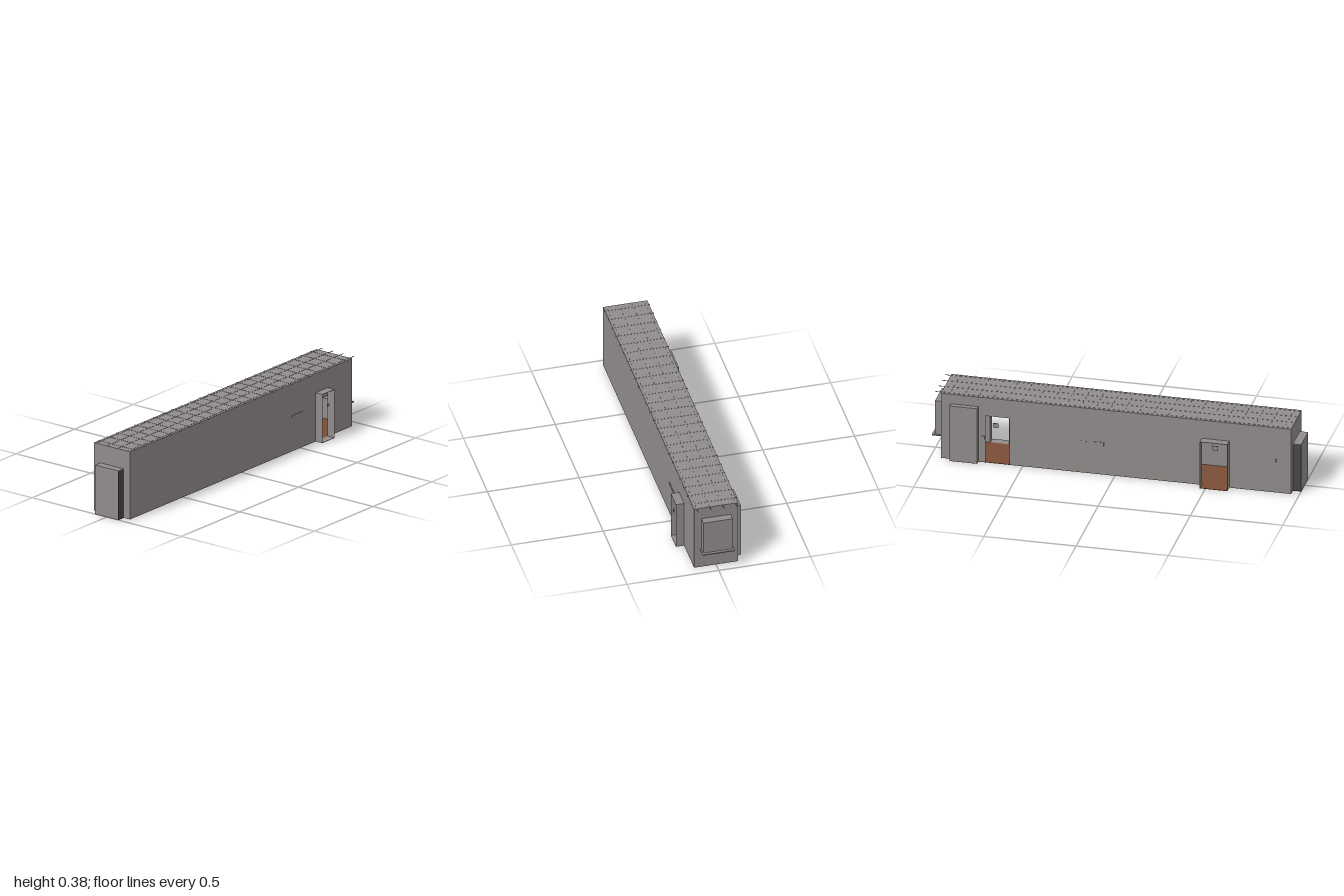
import * as THREE from 'three';

const mat = (name, color) => {
  const m = new THREE.MeshStandardMaterial({ color, side: THREE.DoubleSide });
  m.name = name;
  return m;
};

export function createModel() {
  const gray = mat('wall gray', 0x928c8c);
  const dark = mat('dark gray', 0x484747);
  const brown = mat('floor brown', 0x7a4e36);
  const X0 = -0.955, X1 = 0.943, Z = 0.12, H = 0.378;
  const model = new THREE.Group();
  model.name = 'corridor';

  const add = (name, geo, material, parent = model) => {
    const mesh = new THREE.Mesh(geo, material);
    mesh.name = name;
    parent.add(mesh);
    return mesh;
  };
  // Box given by its limits
  const box = (name, x0, x1, y0, y1, z0, z1, material = gray, parent = model) =>
    add(name, new THREE.BoxGeometry(x1 - x0, y1 - y0, z1 - z0), material, parent)
      .position.set((x0 + x1) / 2, (y0 + y1) / 2, (z0 + z1) / 2);

  // Flat wall from a to b, with doorways [start, end, height] cut up from the floor
  const wallShape = (a, b, doors) => {
    const s = new THREE.Shape();
    s.moveTo(a, 0);
    for (const [p, q, h] of doors) {
      s.lineTo(p, 0);
      s.lineTo(p, h);
      s.lineTo(q, h);
      s.lineTo(q, 0);
    }
    s.lineTo(b, 0);
    s.lineTo(b, H);
    s.lineTo(a, H);
    s.closePath();
    return s;
  };

  // Long walls
  add('frontWall', new THREE.ShapeGeometry(wallShape(X0, X1, [[0.63, 0.735, 0.272]])), gray).position.z = Z;
  const backDoors = [[-0.62, -0.47, 0.272], [0.57, 0.7, 0.272], [0.74, 0.89, 0.322]];
  const back = add('backWall', new THREE.ShapeGeometry(wallShape(X0, X1, backDoors)).rotateY(Math.PI), gray);
  back.geometry.scale(-1, 1, 1);
  back.geometry.index.array.reverse();
  back.position.z = -Z;

  // End walls: a doorway at one end, a window opening at the other
  const doorEnd = add('doorEndWall', new THREE.ShapeGeometry(wallShape(-Z, Z, [[-0.078, 0.078, 0.272]])), gray);
  doorEnd.rotation.y = -Math.PI / 2;
  doorEnd.position.x = X0;
  const windowShape = wallShape(-Z, Z, []);
  windowShape.holes.push(new THREE.Path([
    [-0.08, 0.115], [-0.08, 0.31], [0.08, 0.31], [0.08, 0.115],
  ].map(([u, v]) => new THREE.Vector2(u, v))));
  const windowEnd = add('windowEndWall', new THREE.ShapeGeometry(windowShape), gray);
  windowEnd.rotation.y = Math.PI / 2;
  windowEnd.position.x = X1;

  // Floor and ceiling
  box('floor', X0, X1, 0, 0.002, -Z, Z, brown);
  box('ceiling', X0, X1, H - 0.002, H, -Z, Z);

  // Ceiling grid, with bars running slightly past the walls
  const grid = new THREE.Group();
  grid.name = 'ceilingGrid';
  model.add(grid);
  for (let i = 0; i < 24; i++) {
    const x = -0.915 + i * 0.0787;
    box('crossBar', x - 0.001, x + 0.001, H - 0.002, H + 0.001, -0.125, 0.125, gray, grid);
  }
  for (const z of [-0.105, -0.035, 0.035, 0.105])
    box('longBar', X0, 0.975, H - 0.002, H + 0.001, z - 0.001, z + 0.001, gray, grid);

  // Alcoves: two cheeks, a roof, a floor and an optional closed face
  const T = 0.002;
  const alcove = (name, x0, x1, h, depth, side, floorMat, closed) => {
    const g = new THREE.Group();
    g.name = name;
    model.add(g);
    const z0 = Math.min(side * Z, side * depth), z1 = Math.max(side * Z, side * depth);
    box('cheek', x0, x0 + T, 0, h, z0, z1, gray, g);
    box('cheek', x1 - T, x1, 0, h, z0, z1, gray, g);
    box('alcoveRoof', x0, x1, h - T, h, z0, z1, gray, g);
    box('alcoveFloor', x0, x1, 0, T, z0, z1, floorMat, g);
    if (closed) box('alcoveFace', x0, x1, T, h, side * depth - T / 2, side * depth + T / 2, gray, g);
  };
  alcove('frontDoorAlcove', 0.63, 0.735, 0.272, 0.165, 1, gray, false);
  alcove('backDoorAlcove', -0.62, -0.47, 0.272, 0.165, -1, brown, false);
  alcove('tallBackAlcove', 0.74, 0.89, 0.322, 0.147, -1, brown, true);

  // End alcove with dark cheeks
  for (const s of [-1, 1])
    box('endAlcoveCheek', -1, X0, 0.002, 0.272, s * 0.078 - 0.001, s * 0.078 + 0.001, dark);
  box('endAlcoveFace', -1, -0.998, 0.002, 0.272, -0.077, 0.077);
  box('endAlcoveRoof', -1, X0, 0.272, 0.274, -0.079, 0.079);
  box('endAlcoveFloor', -1, X0, 0, 0.002, -0.079, 0.079, brown);

  // Window bay and sill
  box('bayFace', 0.983, 0.985, 0.115, 0.31, -0.08, 0.08);
  for (const s of [-1, 1])
    box('bayCheek', X1, 0.985, 0.115, 0.31, s * 0.079 - 0.001, s * 0.079 + 0.001);
  box('bayRoof', X1, 0.985, 0.308, 0.31, -0.08, 0.08);
  box('windowSill', X1, 1, 0.11, 0.116, -0.087, 0.087);

  // Small plates in the doorways and on the walls
  box('doorPlate', 0.63, 0.66, 0.21, 0.235, -0.123, -0.119);
  box('doorPlate', -0.56, -0.53, 0.21, 0.235, -0.123, -0.119);
  box('doorPlate', 0.675, 0.69, 0.19, 0.205, 0.161, 0.165);
  box('switchPlate', 0.705, 0.735, 0.135, 0.155, -0.123, -0.117);
  box('switchPlate', -0.875, -0.855, 0.175, 0.195, -0.123, -0.117);
  for (const x of [0.06, 0.088]) box('wallPlate', x, x + 0.024, 0.165, 0.188, -0.123, -0.117);
  for (const x of [0.13, 0.155, 0.18]) box('wallPeg', x, x + 0.006, 0.18, 0.186, -0.123, -0.117);
  box('wallRail', 0.43, 0.52, 0.19, 0.2, 0.117, 0.123);

  return model;
}
